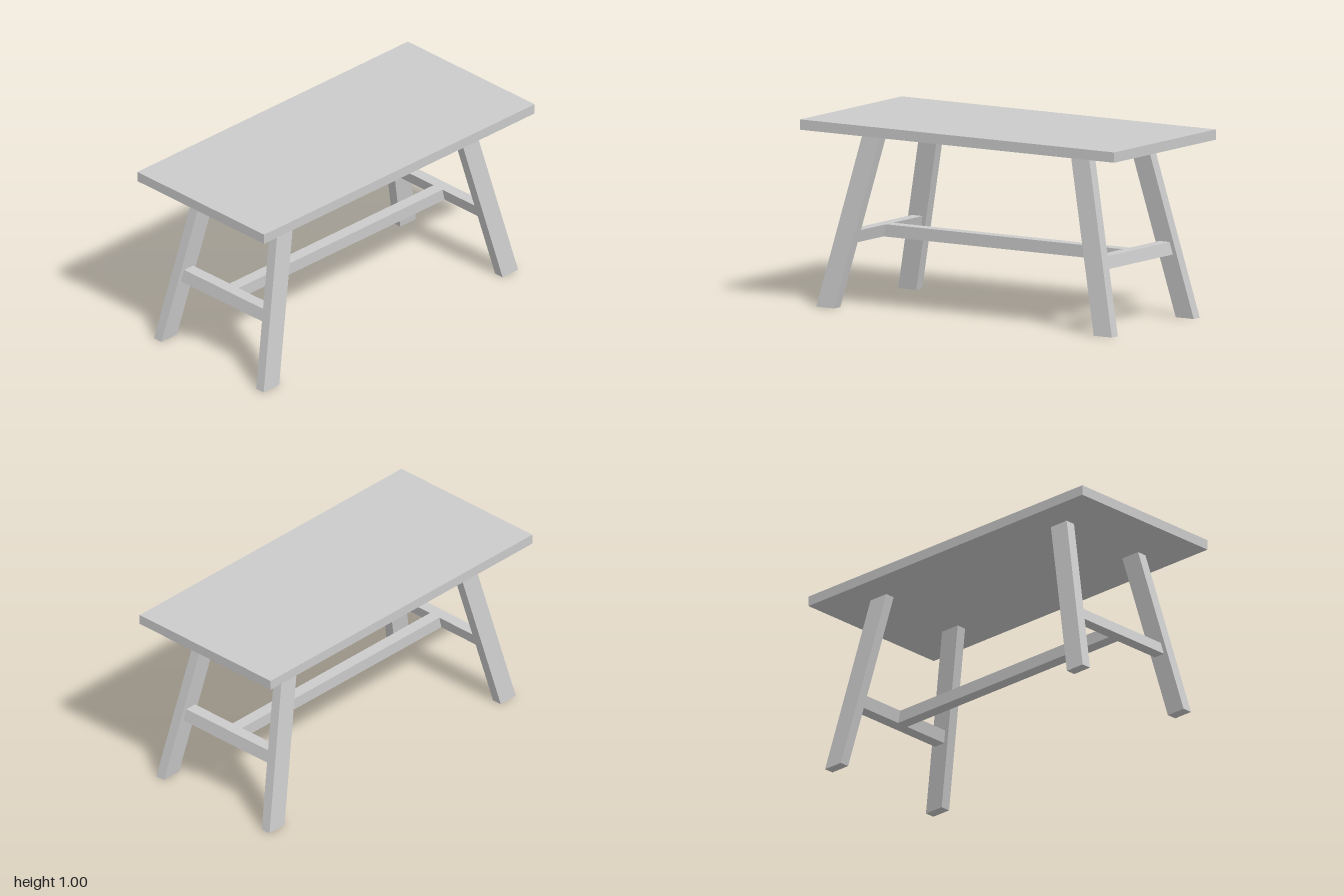
import * as THREE from 'three';

const material = new THREE.MeshStandardMaterial({ color: 0xcccccc, flatShading: true });

// Six-sided beam between two level rectangles, each given as [x0, x1, z0, z1]
function beam(name, y0, y1, bottom, top) {
  const geometry = new THREE.BoxGeometry(1, 1, 1);
  const p = geometry.attributes.position;
  for (let i = 0; i < p.count; i++) {
    const upper = p.getY(i) > 0;
    const r = upper ? top : bottom;
    p.setXYZ(i, p.getX(i) > 0 ? r[1] : r[0], upper ? y1 : y0, p.getZ(i) > 0 ? r[3] : r[2]);
  }
  geometry.computeVertexNormals();
  const mesh = new THREE.Mesh(geometry, material);
  mesh.name = name;
  return mesh;
}

// Inner faces of the splayed legs at height y
const legX = (y) => 0.355 - 0.1185 * y;
const legZ = (y) => 0.826 - 0.238 * y;
const LEG_W = 0.056, LEG_D = 0.115;
const TOP_Y = 0.945, RAIL_Y0 = 0.34, RAIL_Y1 = 0.406;
const RAIL_T = 0.066;

// Inner face of the cross rail, centred in the depth of the legs
const railZ = (y) => legZ(y) + (LEG_D - RAIL_T) / 2;

// Mirror a rectangle to the chosen side, keeping its limits in order
const span = (side, a, b) => (side > 0 ? [a, b] : [-b, -a]);

export function createModel() {
  const table = new THREE.Group();
  table.name = 'table';

  const slab = [-0.475, 0.475, -1, 1];
  table.add(beam('tabletop', TOP_Y, 1, slab, slab));

  for (const sz of [1, -1]) {
    const end = sz > 0 ? 'front' : 'back';

    // Legs splayed both ways
    for (const sx of [1, -1]) {
      const section = (y) => [
        ...span(sx, legX(y), legX(y) + LEG_W),
        ...span(sz, legZ(y), legZ(y) + LEG_D),
      ];
      table.add(beam(end + (sx > 0 ? 'LeftLeg' : 'RightLeg'), 0, TOP_Y, section(0), section(TOP_Y)));
    }

    // Cross rail leaning with the legs
    const rail = (y) => [-legX(y), legX(y), ...span(sz, railZ(y), railZ(y) + RAIL_T)];
    table.add(beam(end + 'CrossRail', RAIL_Y0, RAIL_Y1, rail(RAIL_Y0), rail(RAIL_Y1)));
  }

  // Long stretcher joining the cross rails
  const stretcher = (y) => [-0.034, 0.034, -railZ(y), railZ(y)];
  table.add(beam('stretcher', RAIL_Y0, RAIL_Y1, stretcher(RAIL_Y0), stretcher(RAIL_Y1)));

  return table;
}
